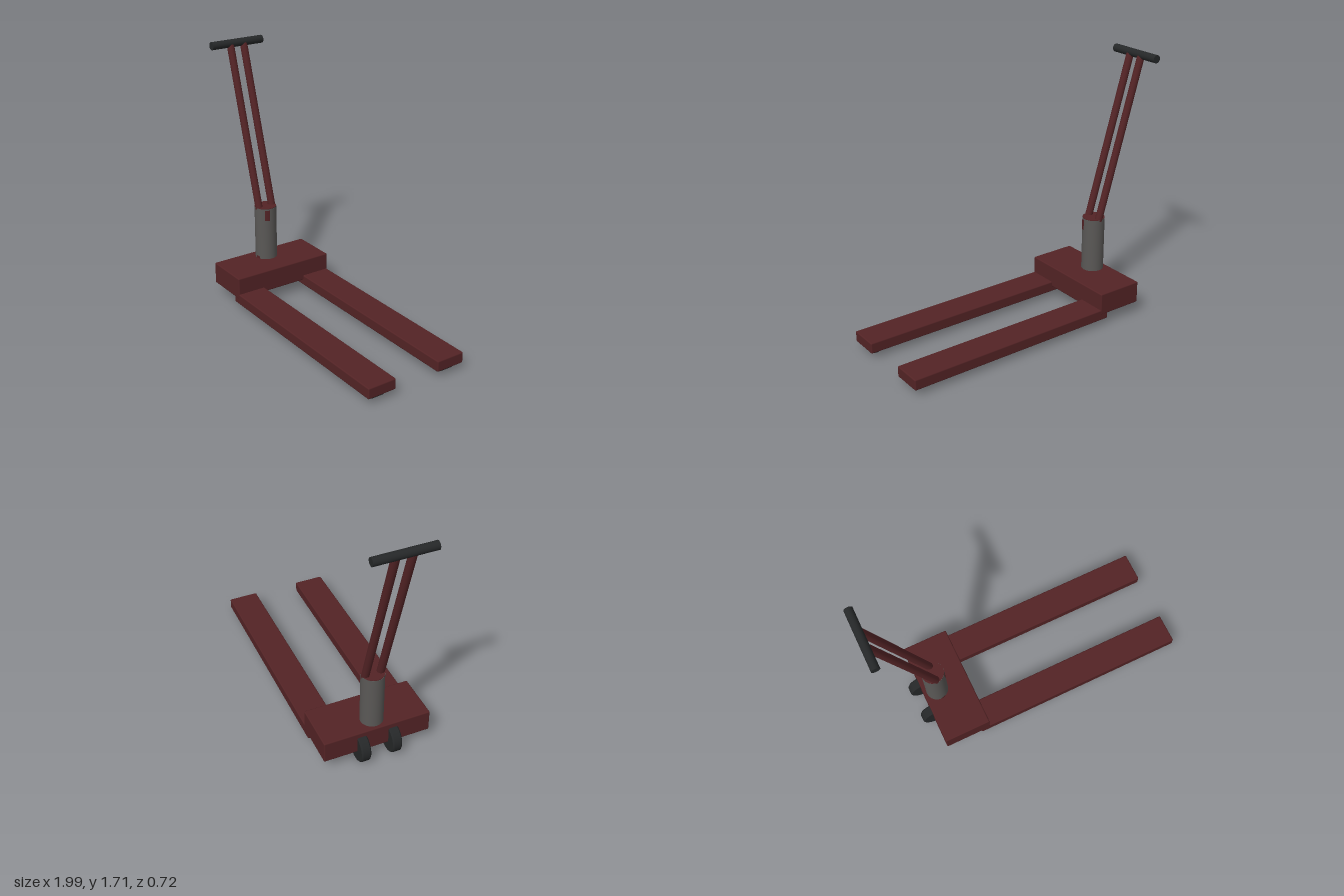
import * as THREE from 'three';
import { RoundedBoxGeometry } from 'three/addons/geometries/RoundedBoxGeometry.js';

export function createModel() {
  const group = new THREE.Group();
  const mat = (name, color) => new THREE.MeshStandardMaterial({ name, color });
  const red = mat('dark red paint', 0x532325);
  const grey = mat('grey steel', 0x5a5856);
  const black = mat('black rubber', 0x252728);

  const add = (name, geometry, material, x, y, z) => {
    const mesh = new THREE.Mesh(geometry, material);
    mesh.name = name;
    mesh.position.set(x, y, z);
    group.add(mesh);
    return mesh;
  };
  const box = (name, w, h, d, x, y, z) =>
    add(name, new RoundedBoxGeometry(w, h, d, 2, 0.008), red, x, y, z);

  // Wheel with a chamfered rim, axle along z
  const wheel = (name, r, width, x, y, z) => {
    const h = width / 2, c = 0.008;
    const points = [[0, -h], [r - c, -h], [r - c, -h], [r, -h + c], [r, -h + c],
      [r, h - c], [r, h - c], [r - c, h], [r - c, h], [0, h]];
    const geometry = new THREE.LatheGeometry(points.map(p => new THREE.Vector2(...p)), 32);
    geometry.rotateX(Math.PI / 2);
    add(name, geometry, black, x, y, z);
  };

  // Chassis block
  box('chassis', 0.32, 0.15, 0.72, -0.585, 0.16, 0);

  // Hydraulic column with a painted cap
  add('column', new THREE.CylinderGeometry(0.075, 0.075, 0.38, 32), grey, -0.65, 0.417, 0);
  add('columnCap', new THREE.CylinderGeometry(0.074, 0.074, 0.005, 32), red, -0.65, 0.608, 0);

  // Small curved paint marks on the column
  const mark = (angle, arc, y, height) => add('paintMark',
    new THREE.CylinderGeometry(0.0762, 0.0762, height, 6, 1, true, angle - arc / 2, arc),
    red, -0.65, y, 0);
  mark(1.2, 0.45, 0.56, 0.075);
  mark(0.2, 0.4, 0.243, 0.018);

  // Mirrored forks, wheels and handle tubes
  const bottom = new THREE.Vector3(-0.648, 0.595, 0);
  const top = new THREE.Vector3(-0.97, 1.68, 0);
  const direction = top.clone().sub(bottom);
  const middle = bottom.clone().add(top).multiplyScalar(0.5);
  for (const s of [1, -1]) {
    box('fork', 1.48, 0.073, 0.2, 0.255, 0.0825, s * 0.259);
    wheel('forkRoller', 0.05, 0.09, 0.925, 0.054, s * 0.26);
    wheel('steerWheel', 0.1, 0.064, -0.72, 0.104, s * 0.106);
    const tube = add('handleTube',
      new THREE.CylinderGeometry(0.025, 0.025, direction.length(), 20),
      red, middle.x, middle.y, s * 0.051);
    tube.quaternion.setFromUnitVectors(new THREE.Vector3(0, 1, 0), direction.clone().normalize());
  }

  // Steering axle and crossbar grip
  const rod = (name, r, length, x, y) =>
    add(name, new THREE.CylinderGeometry(r, r, length, 24).rotateX(Math.PI / 2), black, x, y, 0);
  rod('steerAxle', 0.02, 0.2, -0.72, 0.104);
  rod('grip', 0.027, 0.39, -0.972, 1.684);

  return group;
}
